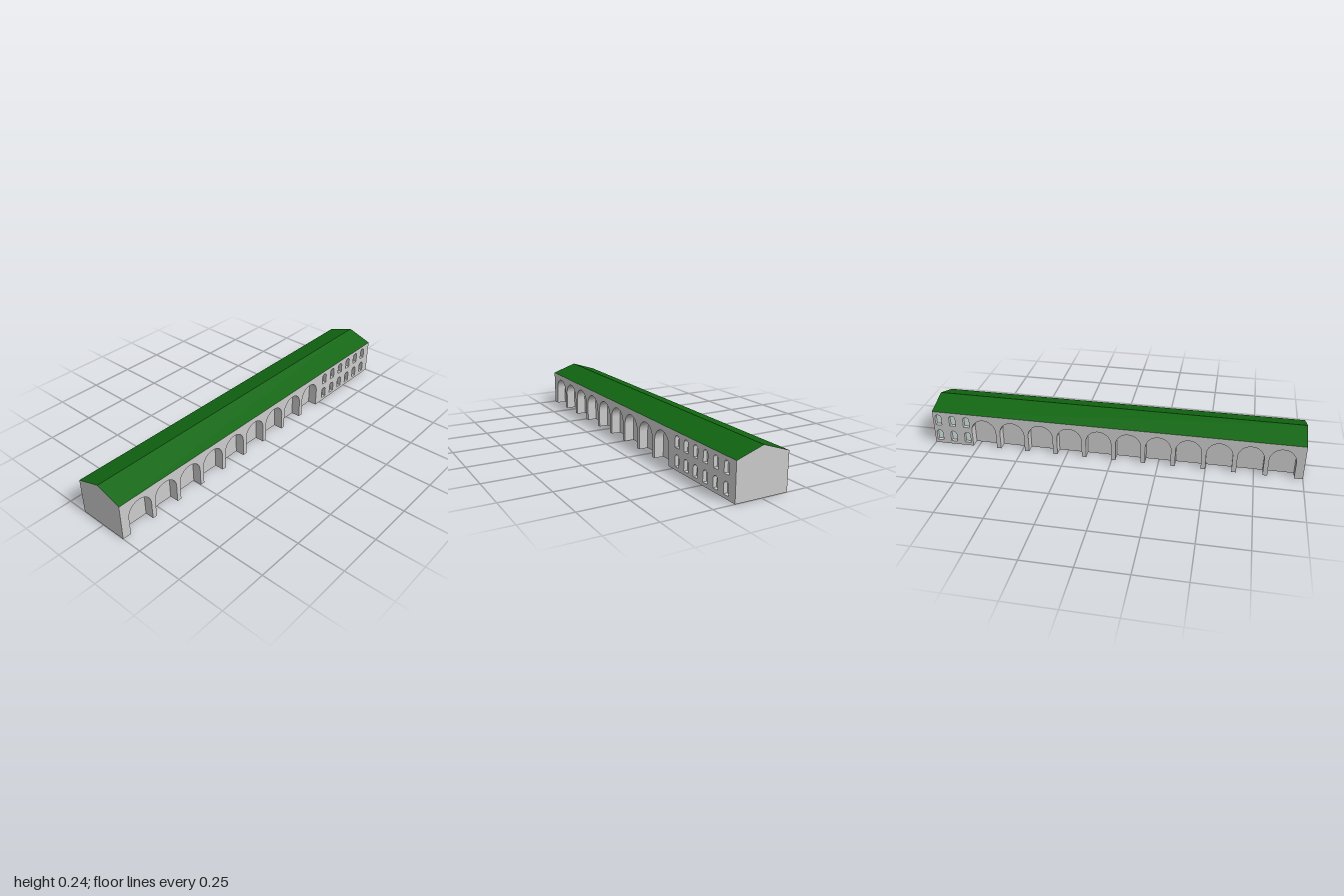
import * as THREE from 'three';

const HALF_DEPTH = 0.139, EAVES = 0.193, RIDGE = 0.24;
const RECESS = 0.05;         // depth of the blind arches
const GLASS_INSET = 0.02;    // depth of the window panes
const ARCH = { w: 0.136, h: 0.163 };
const WINDOW = { w: 0.035, h: 0.062 };

const stone = new THREE.MeshStandardMaterial({ color: 0xcccccc });
const green = new THREE.MeshStandardMaterial({ color: 0x116611 });
const glass = new THREE.MeshStandardMaterial({ color: 0xd0e7e4 });

// Draws a round-headed opening from lower left to lower right.
function traceArch(path, cx, y, { w, h }) {
  const r = w / 2;
  path.lineTo(cx - r, y);
  path.lineTo(cx - r, y + h - r);
  path.absarc(cx, y + h - r, r, Math.PI, 0, true);
  path.lineTo(cx + r, y);
}

function windowShape(cx, y) {
  const shape = new THREE.Shape();
  shape.moveTo(cx - WINDOW.w / 2, y);
  traceArch(shape, cx, y, WINDOW);
  shape.closePath();
  return shape;
}

function extrude(shape, depth) {
  return new THREE.ExtrudeGeometry(shape, { depth, bevelEnabled: false, curveSegments: 20 });
}

function add(parent, name, geometry, material) {
  const mesh = new THREE.Mesh(geometry, material);
  mesh.name = name;
  parent.add(mesh);
  return mesh;
}

// One long wall: arches are notches open at the ground, windows are holes with panes.
function facade(name, archXs, windowXs) {
  const group = new THREE.Group();
  group.name = name;
  const wall = new THREE.Shape();
  wall.moveTo(-1, 0);
  [...archXs].sort((a, b) => a - b).forEach(x => traceArch(wall, x, 0, ARCH));
  wall.lineTo(1, 0);
  wall.lineTo(1, EAVES);
  wall.lineTo(-1, EAVES);
  wall.closePath();

  const inner = HALF_DEPTH - RECESS;
  for (const x of windowXs) {
    for (const y of [0.018, 0.112]) {
      wall.holes.push(windowShape(x, y));
      add(group, 'windowPane', extrude(windowShape(x, y), RECESS - GLASS_INSET), glass).position.z = inner;
    }
  }
  add(group, 'arcadeWall', extrude(wall, RECESS), stone).position.z = inner;
  return group;
}

const series = (count, start, step) => Array.from({ length: count }, (_, i) => start + i * step);

export function createModel() {
  const model = new THREE.Group();
  model.name = 'arcadedBuilding';

  // Solid core behind both walls
  const coreDepth = 2 * (HALF_DEPTH - RECESS);
  add(model, 'core', new THREE.BoxGeometry(2, EAVES, coreDepth), stone).position.y = EAVES / 2;

  // Front: nine arches and six window columns
  model.add(facade('frontFacade', series(9, -0.886, 0.16), series(6, 0.537, 0.0793)));

  // Back: eleven arches and three window columns, turned round so x is negated
  const back = facade('backFacade', series(11, -0.712, 0.16), series(3, -0.97, 0.08));
  back.rotation.y = Math.PI;
  model.add(back);

  // Gabled roof: stone gable ends, green slopes
  const gable = new THREE.Shape([
    new THREE.Vector2(-HALF_DEPTH, EAVES),
    new THREE.Vector2(HALF_DEPTH, EAVES),
    new THREE.Vector2(0, RIDGE),
  ]);
  const roof = add(model, 'roof', extrude(gable, 2), [stone, green]);
  roof.rotation.y = Math.PI / 2;
  roof.position.x = -1;

  return model;
}
